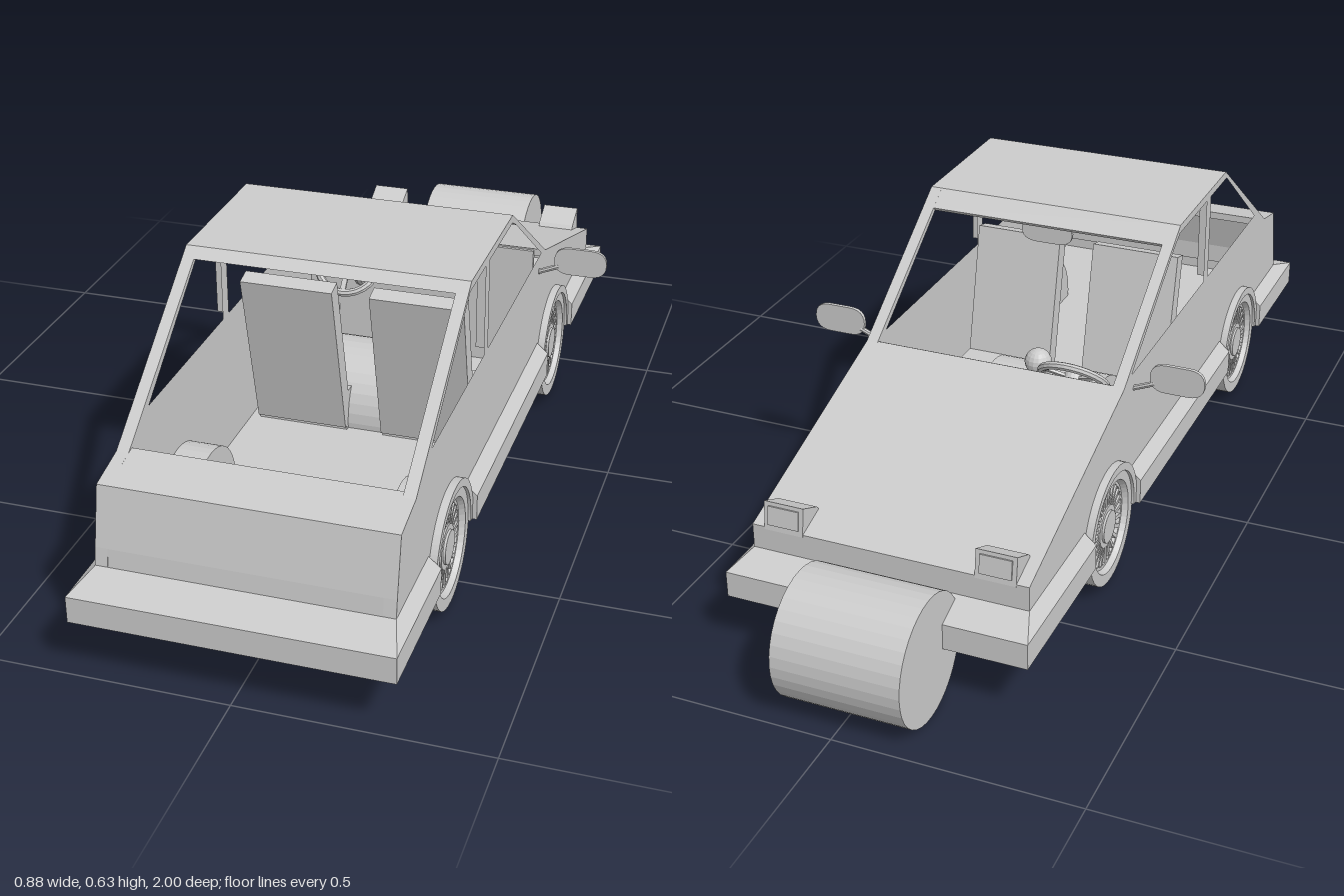
import * as THREE from 'three';

const mat = new THREE.MeshStandardMaterial({ color: 0xcccccc, flatShading: true });
const openMat = new THREE.MeshStandardMaterial({ color: 0xcccccc, flatShading: true, side: THREE.DoubleSide });
const WHEEL_Z = [0.58, -0.325], WHEEL_Y = 0.135;

function add(parent, name, geo, x = 0, y = 0, z = 0, material = mat) {
  const m = new THREE.Mesh(geo, material);
  m.name = name;
  m.position.set(x, y, z);
  parent.add(m);
  return m;
}
const poly = pts => new THREE.Shape(pts.map(p => new THREE.Vector2(p[0], p[1])));

// Extrude a (z, y) outline across the car from x0 to x1
function across(shape, x0, x1) {
  const g = new THREE.ExtrudeGeometry(shape, { depth: x1 - x0, bevelEnabled: false, curveSegments: 24 });
  return g.rotateY(-Math.PI / 2).translate(x1, 0, 0);
}
function box(parent, name, x0, x1, y0, y1, z0, z1) {
  return add(parent, name, new THREE.BoxGeometry(x1 - x0, y1 - y0, z1 - z0),
    (x0 + x1) / 2, (y0 + y1) / 2, (z0 + z1) / 2);
}
// Straight round bar between two points
function rod(parent, name, a, b, r) {
  const path = new THREE.LineCurve3(new THREE.Vector3(...a), new THREE.Vector3(...b));
  return add(parent, name, new THREE.TubeGeometry(path, 1, r, 8));
}
// Thin mirror plate with rounded ends
function mirrorPlate(w, h) {
  const s = new THREE.Shape(), a = w / 2, b = h / 2, c = 0.035;
  s.moveTo(-a + c, -b);
  s.lineTo(a - c, -b);
  s.quadraticCurveTo(a, -b, a, 0);
  s.quadraticCurveTo(a, b, a - c, b);
  s.lineTo(-a + c, b);
  s.quadraticCurveTo(-a, b, -a, 0);
  s.quadraticCurveTo(-a, -b, -a + c, -b);
  return new THREE.ExtrudeGeometry(s, { depth: 0.008, bevelEnabled: false, curveSegments: 6 }).translate(0, 0, -0.004);
}

// Side panel with wheel cut-outs and two window openings
function sidePanelShape() {
  const s = new THREE.Shape(), r = 0.118, a = 0.127;
  s.moveTo(0.92, 0.12);
  for (const z of WHEEL_Z) s.absarc(z, WHEEL_Y, r, -a, Math.PI + a, false);
  [[-0.745, 0.12], [-0.745, 0.25], [-0.24, 0.41], [0.1, 0.635], [0.43, 0.635], [0.8, 0.374],
    [0.89, 0.355], [0.915, 0.235], [0.92, 0.2]].forEach(p => s.lineTo(...p));
  s.holes.push(poly([[0.7, 0.422], [0.32, 0.422], [0.32, 0.622], [0.432, 0.622]]));
  s.holes.push(poly([[0.288, 0.422], [-0.195, 0.422], [0.1, 0.622], [0.288, 0.622]]));
  return s;
}

// Bumper and sill band: a plan outline with wheel notches, lofted up to the body
function addSkirt(car) {
  const half = [[0.315, 1]];
  for (const z of WHEEL_Z)
    half.push([0.315, z + 0.133], [0.265, z + 0.133], [0.265, z - 0.133], [0.315, z - 0.133]);
  half.push([0.315, -0.815]);
  const plan = [...half, ...half.map(([x, z]) => [-x, z]).reverse()];
  const inner = plan.map(([x, z]) =>
    [Math.sign(x) * Math.min(0.29, Math.abs(x)), Math.min(0.92, Math.max(-0.745, z))]);
  const rings = [[plan, 0.12], [plan, 0.175], [inner, 0.198]];
  const pos = [], idx = [], n = plan.length;
  for (const [ring, y] of rings) for (const [x, z] of ring) pos.push(x, y, z);
  for (let k = 0; k < 2; k++) for (let i = 0; i < n; i++) {
    const a = k * n + i, b = k * n + (i + 1) % n;
    idx.push(a, b, b + n, a, b + n, a + n);
  }
  const g = new THREE.BufferGeometry();
  g.setAttribute('position', new THREE.Float32BufferAttribute(pos, 3));
  g.setIndex(idx);
  g.computeVertexNormals();
  add(car, 'bumperBand', g, 0, 0, 0, openMat);
  add(car, 'floor', new THREE.ShapeGeometry(poly(plan)).rotateX(Math.PI / 2), 0, 0.12, 0, openMat);
}

// Wheel facing +x, with a recessed rim, spokes and hub
function makeWheel() {
  const w = new THREE.Group();
  w.name = 'wheel';
  const profile = [[0, 0.195], [0.125, 0.195], [0.125, 0.3], [0.1, 0.3], [0.094, 0.288],
    [0.088, 0.288], [0.086, 0.272], [0, 0.272]].map(p => new THREE.Vector2(...p));
  add(w, 'tyre', new THREE.LatheGeometry(profile, 40).rotateZ(-Math.PI / 2));
  for (let i = 0; i < 24; i++) {
    const spoke = add(w, 'spoke', new THREE.BoxGeometry(0.016, 0.045, 0.008).translate(0.28, 0.065, 0));
    spoke.rotation.x = i * Math.PI / 12;
  }
  const disc = (name, r, x0, x1) => add(w, name,
    new THREE.CylinderGeometry(r, r, x1 - x0, 24).rotateZ(Math.PI / 2), (x0 + x1) / 2);
  disc('hub', 0.046, 0.27, 0.291);
  disc('hubCap', 0.035, 0.29, 0.296);
  return w;
}

export function createModel() {
  const car = new THREE.Group();
  car.name = 'car';
  addSkirt(car);

  // Body shell
  const side = sidePanelShape();
  add(car, 'leftSidePanel', across(side, 0.265, 0.29));
  add(car, 'rightSidePanel', across(side, -0.29, -0.265));
  const panels = {
    roof: [[0.43, 0.635], [0.455, 0.6175], [0.43, 0.6175], [0.1, 0.6175], [0.062, 0.597], [0.055, 0.605], [0.1, 0.635]],
    hood: [[-0.235, 0.4116], [-0.745, 0.25], [-0.745, 0.19], [-0.73, 0.19], [-0.73, 0.238], [-0.235, 0.395]],
    tail: [[0.92, 0.19], [0.915, 0.235], [0.89, 0.355], [0.785, 0.377], [0.785, 0.36], [0.875, 0.34], [0.9, 0.235], [0.9, 0.19]],
  };
  for (const name in panels) add(car, name, across(poly(panels[name]), -0.29, 0.29));
  box(car, 'firewall', -0.265, 0.265, 0.12, 0.408, -0.24, -0.228);

  // Wheels and arches on both sides
  const arch = new THREE.Shape();
  arch.absarc(0, 0, 0.137, -0.1, Math.PI + 0.1, false);
  arch.absarc(0, 0, 0.12, Math.PI + 0.1, -0.1, true);
  for (const z of WHEEL_Z) for (const s of [1, -1]) {
    const w = makeWheel();
    w.position.set(0, WHEEL_Y, z);
    if (s < 0) w.rotation.y = Math.PI;
    car.add(w);
    add(car, 'wheelArch', s > 0 ? across(arch, 0.27, 0.306) : across(arch, -0.306, -0.27), 0, WHEEL_Y, z);
  }

  // Wide rollers under the middle and ahead of the nose
  for (const [name, z] of [['middleRoller', 0.042], ['frontRoller', -0.87]])
    add(car, name, new THREE.CylinderGeometry(0.13, 0.13, 0.263, 36).rotateZ(Math.PI / 2), -0.0125, 0.1325, z);

  // Raised headlights and door mirrors
  for (const s of [1, -1]) {
    const lamp = poly([[-0.675, 0.268], [-0.685, 0.28], [-0.738, 0.305], [-0.746, 0.245]]);
    add(car, 'headlight', across(lamp, s * 0.222 - 0.042, s * 0.222 + 0.042));
    const lens = add(car, 'headlightLens', new THREE.BoxGeometry(0.066, 0.04, 0.004), s * 0.222, 0.277, -0.743);
    lens.rotation.x = 0.13;
    add(car, 'doorMirror', mirrorPlate(0.117, 0.063), s * 0.383, 0.418, -0.178);
    rod(car, 'doorMirrorStalk', [s * 0.28, 0.38, -0.178], [s * 0.335, 0.403, -0.178], 0.006);
  }

  // Cabin mirror
  add(car, 'cabinMirror', mirrorPlate(0.117, 0.052), 0.006, 0.58, 0.083);
  box(car, 'cabinMirrorMount', -0.008, 0.02, 0.6, 0.62, 0.08, 0.086);

  // Seats, leaning backward
  const back = poly([[0.15, 0.13], [0.19, 0.13], [0.27, 0.488], [0.234, 0.497]]);
  for (const [x0, x1] of [[-0.245, -0.045], [0.035, 0.235]]) {
    add(car, 'seatBack', across(back, x0, x1));
    box(car, 'seatCushion', x0, x1, 0.12, 0.21, 0, 0.18);
  }

  // Gear lever
  rod(car, 'gearLever', [-0.01, 0.2, 0], [-0.01, 0.3, -0.01], 0.007);
  add(car, 'gearKnob', new THREE.SphereGeometry(0.03, 16, 10), -0.01, 0.31, -0.01);

  // Steering wheel on a sloping column
  const steering = new THREE.Group();
  steering.name = 'steeringWheel';
  add(steering, 'steeringRim', new THREE.TorusGeometry(0.071, 0.009, 8, 28));
  add(steering, 'steeringHub', new THREE.CylinderGeometry(0.022, 0.022, 0.015, 16).rotateX(Math.PI / 2));
  for (let i = 0; i < 3; i++) {
    const spoke = add(steering, 'steeringSpoke', new THREE.BoxGeometry(0.07, 0.012, 0.006).translate(0.035, 0, 0));
    spoke.rotation.z = -Math.PI / 2 + i * Math.PI * 2 / 3;
  }
  rod(steering, 'steeringColumn', [0, 0, 0], [0, 0, -0.12], 0.011);
  steering.position.set(-0.145, 0.36, -0.145);
  steering.rotation.x = -0.76;
  car.add(steering);

  return car;
}
